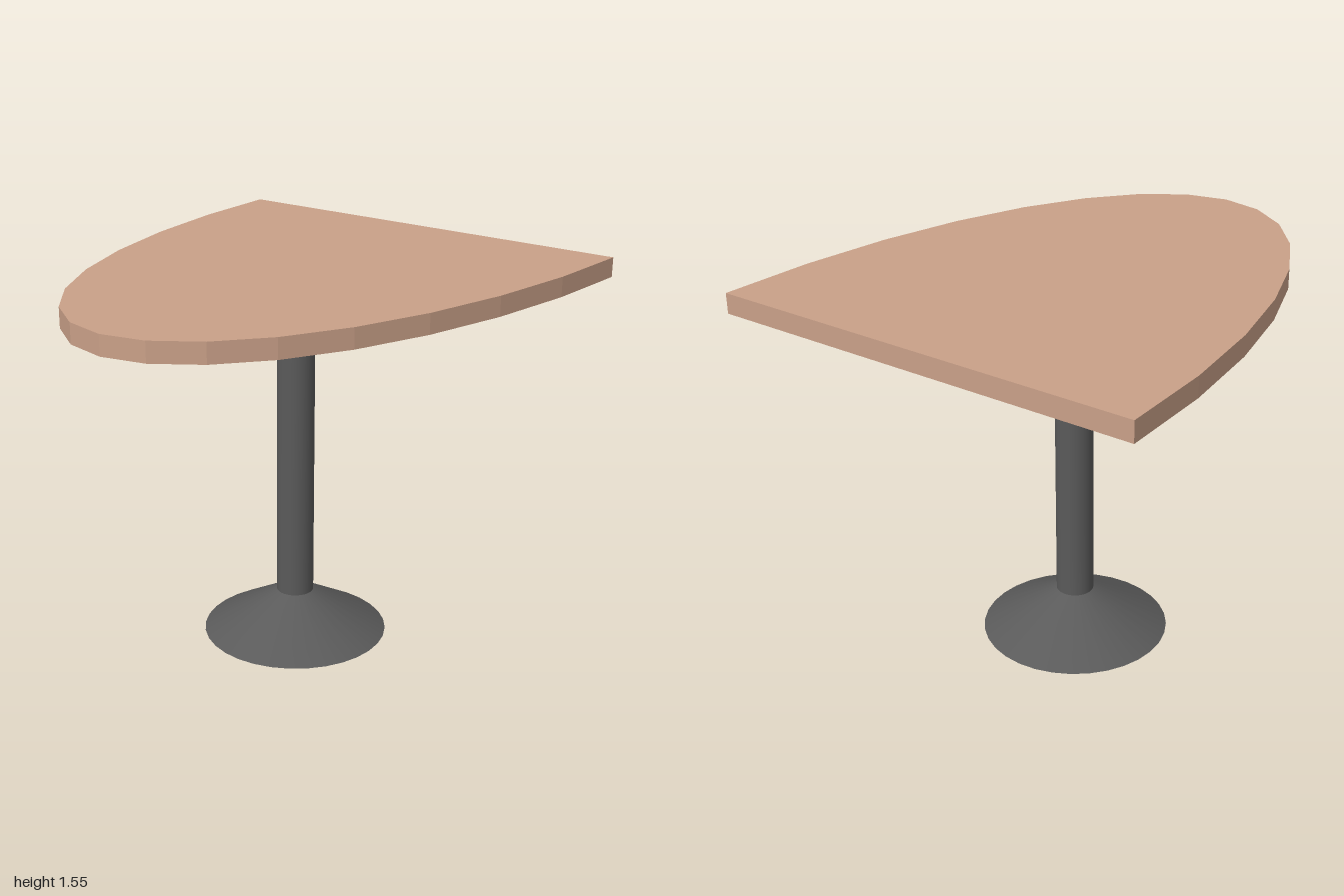
import * as THREE from 'three';

export function createModel() {
  const table = new THREE.Group();
  table.name = 'pedestalTable';
  const wood = new THREE.MeshStandardMaterial({ color: 0xc9a088 });
  const metal = new THREE.MeshStandardMaterial({ color: 0x5a5a5a });

  const add = (name, geometry, material, x, y) => {
    const mesh = new THREE.Mesh(geometry, material);
    mesh.name = name;
    mesh.position.set(x, y, 0);
    table.add(mesh);
  };

  // Table top: half ellipse with a straight edge at +x and faceted rim
  const outline = [];
  for (let i = 0; i <= 16; i++) {
    const a = Math.PI / 2 + (i / 16) * Math.PI;
    outline.push(new THREE.Vector2(1 + 2 * Math.cos(a), 0.895 * Math.sin(a)));
  }
  const top = new THREE.ExtrudeGeometry(new THREE.Shape(outline), { depth: 0.08, bevelEnabled: false });
  top.rotateX(-Math.PI / 2);
  add('tableTop', top, wood, 0, 1.47);

  // Column and conical foot share one axis
  const axisX = 0.095, footHeight = 0.175, columnHeight = 1.47 - footHeight;
  add('column', new THREE.CylinderGeometry(0.076, 0.076, columnHeight, 32), metal, axisX, footHeight + columnHeight / 2);
  add('foot', new THREE.CylinderGeometry(0.076, 0.38, footHeight, 32), metal, axisX, footHeight / 2);

  return table;
}
